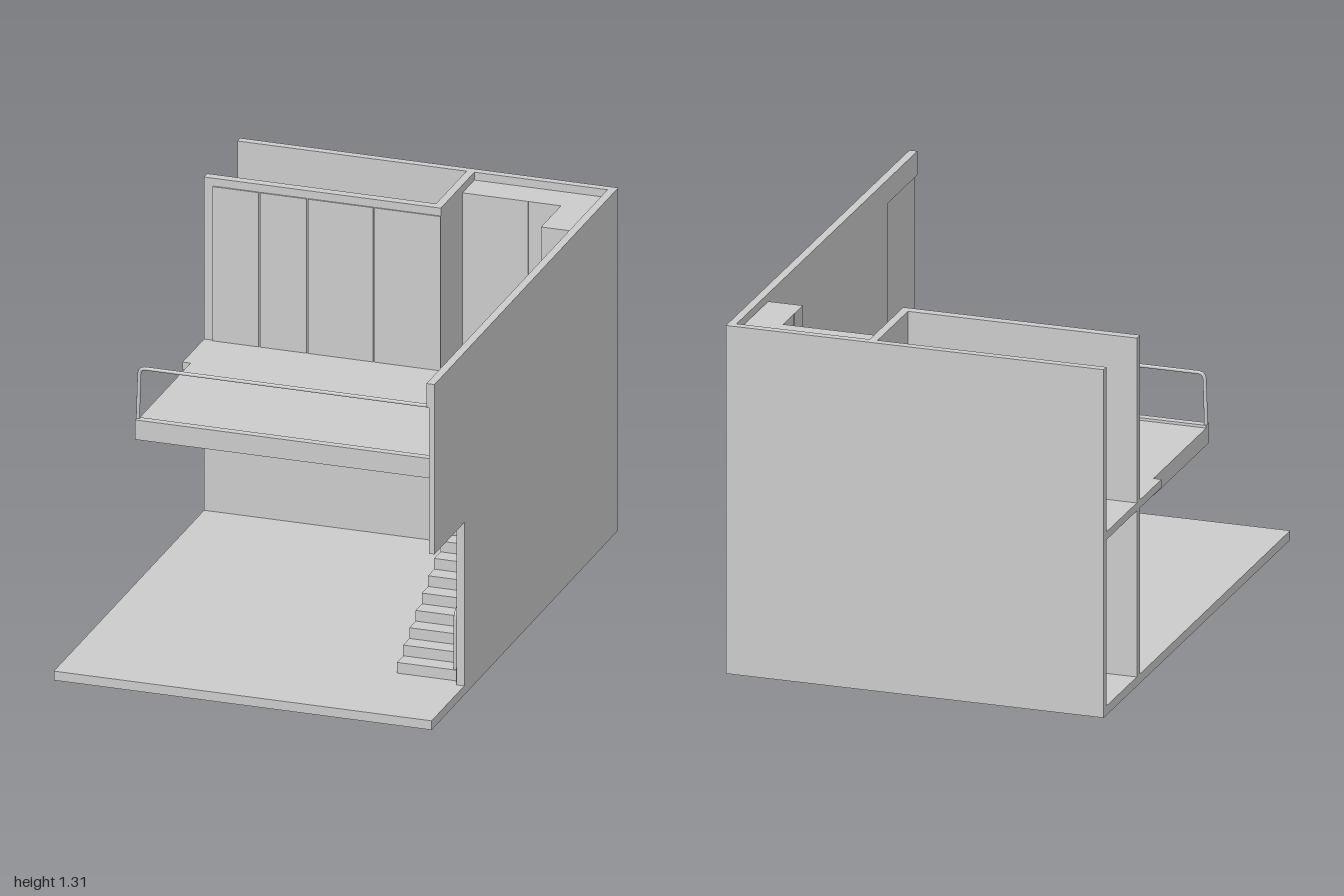
import * as THREE from 'three';

export function createModel() {
  const group = new THREE.Group();
  const mat = new THREE.MeshStandardMaterial({ color: 0xcccccc });

  const add = (name, geo) => {
    const mesh = new THREE.Mesh(geo, mat);
    mesh.name = name;
    group.add(mesh);
    return mesh;
  };
  // Box given by its extents
  const box = (name, x0, x1, y0, y1, z0, z1) =>
    add(name, new THREE.BoxGeometry(x1 - x0, y1 - y0, z1 - z0)
      .translate((x0 + x1) / 2, (y0 + y1) / 2, (z0 + z1) / 2));
  // Side profile of [z, y] points, extruded from x0 to x1
  const profile = (name, pts, x0, x1) => {
    const shape = new THREE.Shape(pts.map(([z, y]) => new THREE.Vector2(z, y)));
    const geo = new THREE.ExtrudeGeometry(shape, { depth: x1 - x0, bevelEnabled: false });
    return add(name, geo.rotateY(-Math.PI / 2).translate(x1, 0, 0));
  };
  // Tube through points with rounded corners
  const rail = (name, pts, radius, bend) => {
    const v = pts.map(p => new THREE.Vector3(...p));
    const path = new THREE.CurvePath();
    let from = v[0];
    for (let i = 1; i < v.length - 1; i++) {
      const a = v[i].clone().add(v[i - 1].clone().sub(v[i]).setLength(bend));
      const b = v[i].clone().add(v[i + 1].clone().sub(v[i]).setLength(bend));
      path.add(new THREE.LineCurve3(from, a));
      path.add(new THREE.QuadraticBezierCurve3(a, v[i], b));
      from = b;
    }
    path.add(new THREE.LineCurve3(from, v[v.length - 1]));
    return add(name, new THREE.TubeGeometry(path, 240, radius, 8));
  };

  // Shell: floor, back wall and side wall with a recessed front panel
  box('floor', -0.71, 0.71, 0, 0.035, -1, 1);
  box('backWall', -0.71, 0.69, 0.035, 1.31, -1, -0.97);
  profile('sideWallInner', [[-1, 0.035], [0.65, 0.035], [0.65, 1.22], [0.97, 1.22],
    [0.97, 1.31], [-1, 1.31]], 0.68, 0.69);
  profile('sideWallOuter', [[-1, 0.035], [0.65, 0.035], [0.65, 0.66], [0.97, 0.66],
    [0.97, 1.31], [-1, 1.31]], 0.69, 0.71);

  // Partition enclosing the rear room on both storeys
  box('partitionFront', -0.71, 0.18, 0.035, 1.31, -0.645, -0.61);
  box('partitionSide', 0.15, 0.18, 0.035, 1.31, -0.97, -0.645);

  // Upper floor and projecting platform with a raised rim
  box('upperFloor', -0.71, 0.68, 0.66, 0.69, -0.97, -0.38);
  box('platform', -0.68, 0.43, 0.625, 0.69, -0.38, 0.19);
  box('platformFrontRim', -0.68, 0.445, 0.625, 0.7, 0.185, 0.215);
  box('platformSideRim', 0.415, 0.445, 0.625, 0.7, -0.38, 0.185);
  box('ceilingPanel', -0.55, 0.31, 0.62, 0.625, -0.28, 0.13);

  // Door panels along the partition
  const seams = [-0.675, -0.5, -0.32, -0.07, 0.18];
  for (let i = 0; i < 4; i++)
    box('doorPanel', seams[i] + (i ? 0.003 : 0), seams[i + 1] - (i < 3 ? 0.003 : 0),
      0.69, 1.28, -0.61, -0.604);

  // L-shaped wardrobe in the corner, with thin door edges
  box('wardrobeBack', 0.18, 0.55, 0.69, 1.28, -0.97, -0.842);
  box('wardrobeSide', 0.55, 0.68, 0.69, 1.28, -0.97, -0.63);
  box('wardrobeDoorEdge', 0.422, 0.428, 0.69, 1.28, -0.842, -0.839);
  box('wardrobeDoorEdge', 0.547, 0.55, 0.69, 1.28, -0.733, -0.727);

  // Staircase: fifteen treads rising to the upper floor
  const n = 15, zFoot = 0.615, zTop = -0.38;
  const run = (zFoot - zTop) / n, rise = (0.69 - 0.035) / (n + 1);
  const steps = [[zTop, 0.035], [zFoot, 0.035]];
  for (let i = 0; i < n; i++) {
    const y = 0.035 + (i + 1) * rise;
    steps.push([zFoot - i * run, y], [zFoot - (i + 1) * run, y]);
  }
  profile('stairs', steps, 0.445, 0.672);
  profile('stairSkirting', [[zFoot + 0.015, 0.035], [zFoot + 0.015, 0.09],
    [zTop, 0.7], [zTop, 0.6], [0.54, 0.035]], 0.672, 0.68);

  // Handrails
  rail('stairHandrail', [[0.66, 0.076, 0.605], [0.66, 0.285, 0.605],
    [0.66, 0.894, -0.372], [0.66, 0.69, -0.372]], 0.006, 0.02);
  rail('platformRailing', [[-0.676, 0.7, 0.195], [-0.67, 0.893, 0.195], [0.426, 0.893, 0.195],
    [0.426, 0.893, -0.374], [0.432, 0.7, -0.374]], 0.007, 0.025);

  return group;
}
